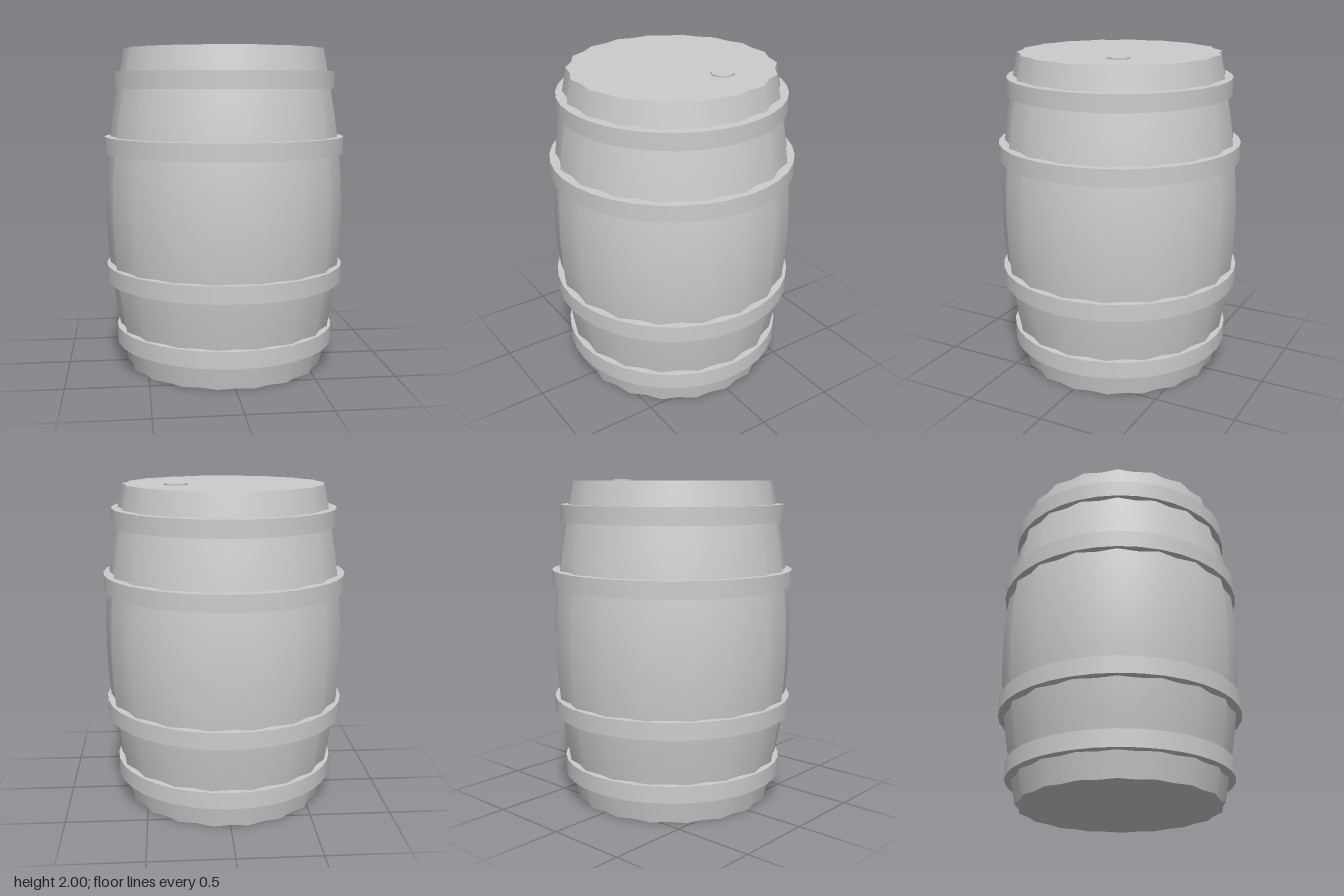
import * as THREE from 'three';

const HEIGHT = 1.99, END_RADIUS = 0.622, BULGE = 0.124, SIDES = 36, VALLEY = 0.965;

// Bulging barrel whose alternate vertices sink in to suggest the staves
function barrelGeometry() {
  const geo = new THREE.CylinderGeometry(1, 1, HEIGHT, SIDES, 10);
  geo.translate(0, HEIGHT / 2, 0);
  const pos = geo.attributes.position, nor = geo.attributes.normal;
  for (let i = 0; i < pos.count; i++) {
    const x = pos.getX(i), y = pos.getY(i), z = pos.getZ(i);
    const t = y / HEIGHT;
    const step = Math.round(Math.atan2(x, z) / (2 * Math.PI) * SIDES);
    const stave = step % 2 === 0 ? VALLEY : 1;
    const r = (END_RADIUS + BULGE * Math.sin(Math.PI * t)) * stave;
    pos.setXYZ(i, x * r, y, z * r);
    // Smooth normals on the wall, flat ones kept on the ends
    if (Math.abs(nor.getY(i)) < 0.5) {
      const slope = BULGE * Math.PI / HEIGHT * Math.cos(Math.PI * t);
      const n = new THREE.Vector3(x, -slope, z).normalize();
      nor.setXYZ(i, n.x, n.y, n.z);
    }
  }
  return geo;
}

export function createModel() {
  const group = new THREE.Group();
  group.name = 'barrel';
  const grey = new THREE.MeshStandardMaterial({ color: 0xcccccc });
  grey.name = 'light grey';

  const add = (name, geo, x, y, z) => {
    const mesh = new THREE.Mesh(geo, grey);
    mesh.name = name;
    mesh.position.set(x, y, z);
    group.add(mesh);
  };

  add('staves', barrelGeometry(), 0, 0, 0);

  // Two pairs of hoops, mirrored about the middle
  for (const [name, offset, radius] of [['innerHoop', 0.4, 0.75], ['outerHoop', 0.798, 0.69]]) {
    for (const side of [1, -1]) {
      add(name + (side > 0 ? 'Top' : 'Bottom'),
        new THREE.CylinderGeometry(radius, radius, 0.104, SIDES),
        0, HEIGHT / 2 + side * offset + 0.003, 0);
    }
  }

  // Small stopper on the lid
  add('bung', new THREE.CylinderGeometry(0.069, 0.069, 0.03, 8), 0.295, 1.985, -0.147);

  return group;
}
